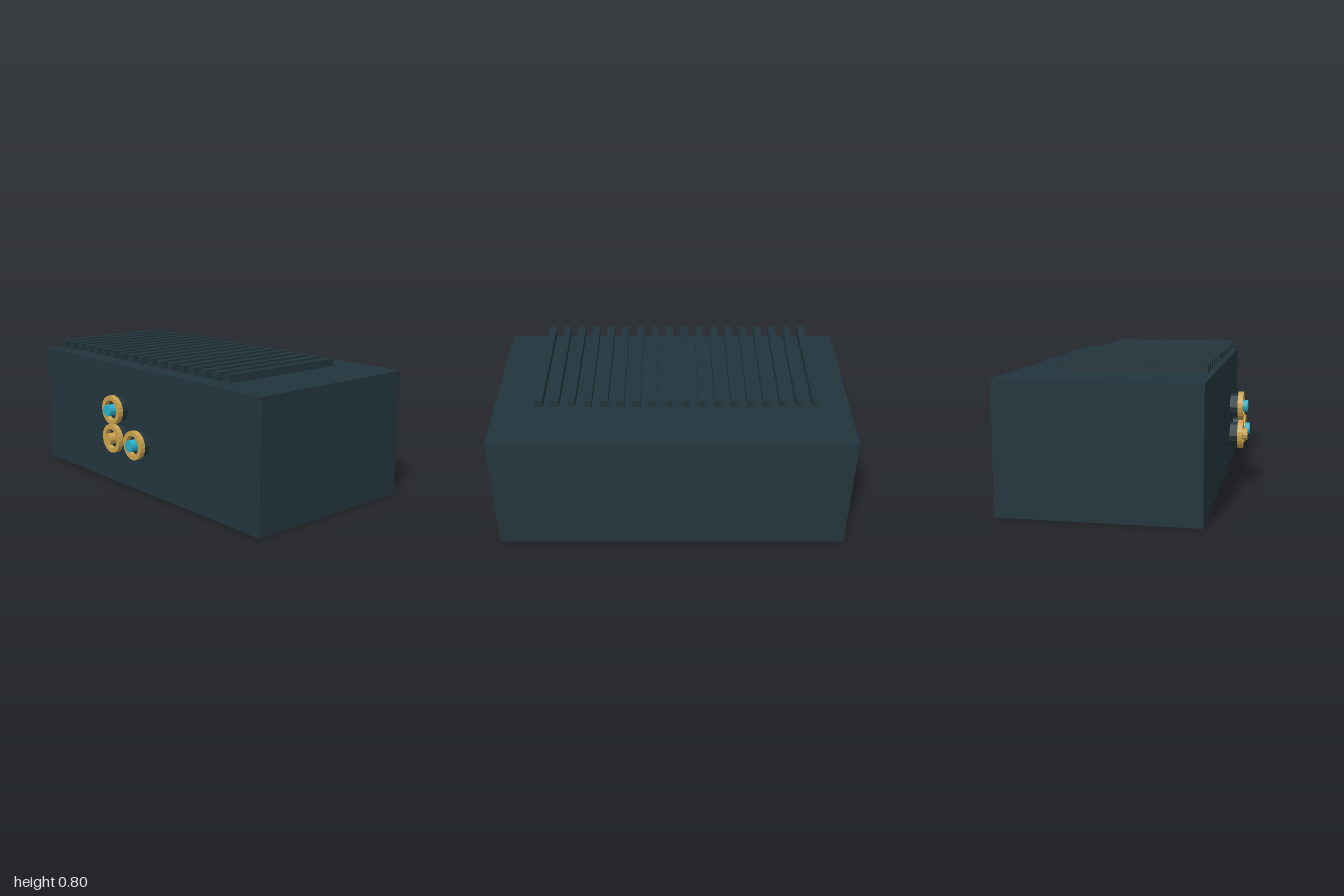
import * as THREE from 'three';

export function createModel() {
  const model = new THREE.Group();
  model.name = 'ventedBox';
  const mat = (name, color) => {
    const m = new THREE.MeshStandardMaterial({ color, flatShading: true });
    m.name = name;
    return m;
  };
  const slate = mat('darkSlate', 0x22353c);
  const brass = mat('brass', 0xcaa24e);
  const cyan = mat('cyan', 0x2bb0ca);

  const add = (parent, name, geometry, material, x, y, z) => {
    const mesh = new THREE.Mesh(geometry, material);
    mesh.name = name;
    mesh.position.set(x, y, z);
    parent.add(mesh);
    return mesh;
  };

  // Main housing
  add(model, 'housing', new THREE.BoxGeometry(2, 0.727, 1.092), slate, 0, 0.3635, -0.076);

  // Row of slats floating just above the lid
  const slats = new THREE.Group();
  slats.name = 'slats';
  model.add(slats);
  const slatGeo = new THREE.BoxGeometry(0.044, 0.043, 0.79);
  for (let i = 0; i < 18; i++) {
    add(slats, 'slat', slatGeo, slate, -0.803 + i * 0.0909, 0.778, 0.07);
  }

  // Knob parts, each along the z axis
  const disc = (radius, depth, sides) =>
    new THREE.CylinderGeometry(radius, radius, depth, sides).rotateX(Math.PI / 2);
  const baseGeo = disc(0.07, 0.046, 12);
  const hubGeo = disc(0.034, 0.054, 12);

  // Flat ring with a square section, turned about its axis
  const ringGeo = new THREE.LatheGeometry(
    [[0.057, -0.015], [0.084, -0.015], [0.084, 0.015], [0.057, 0.015], [0.057, -0.015]]
      .map(([r, h]) => new THREE.Vector2(r, h)), 20).rotateX(Math.PI / 2);

  // Three knobs in an L on the front
  [[-0.105, 0.486, cyan], [-0.105, 0.317, brass], [0.101, 0.317, cyan]].forEach(([x, y, hubMat]) => {
    const knob = new THREE.Group();
    knob.name = 'knob';
    knob.position.set(x, y, 0);
    model.add(knob);
    add(knob, 'knobBase', baseGeo, slate, 0, 0, 0.545);
    add(knob, 'knobRing', ringGeo, brass, 0, 0, 0.582);
    add(knob, 'knobHub', hubGeo, hubMat, 0, 0, 0.595);
  });

  return model;
}
